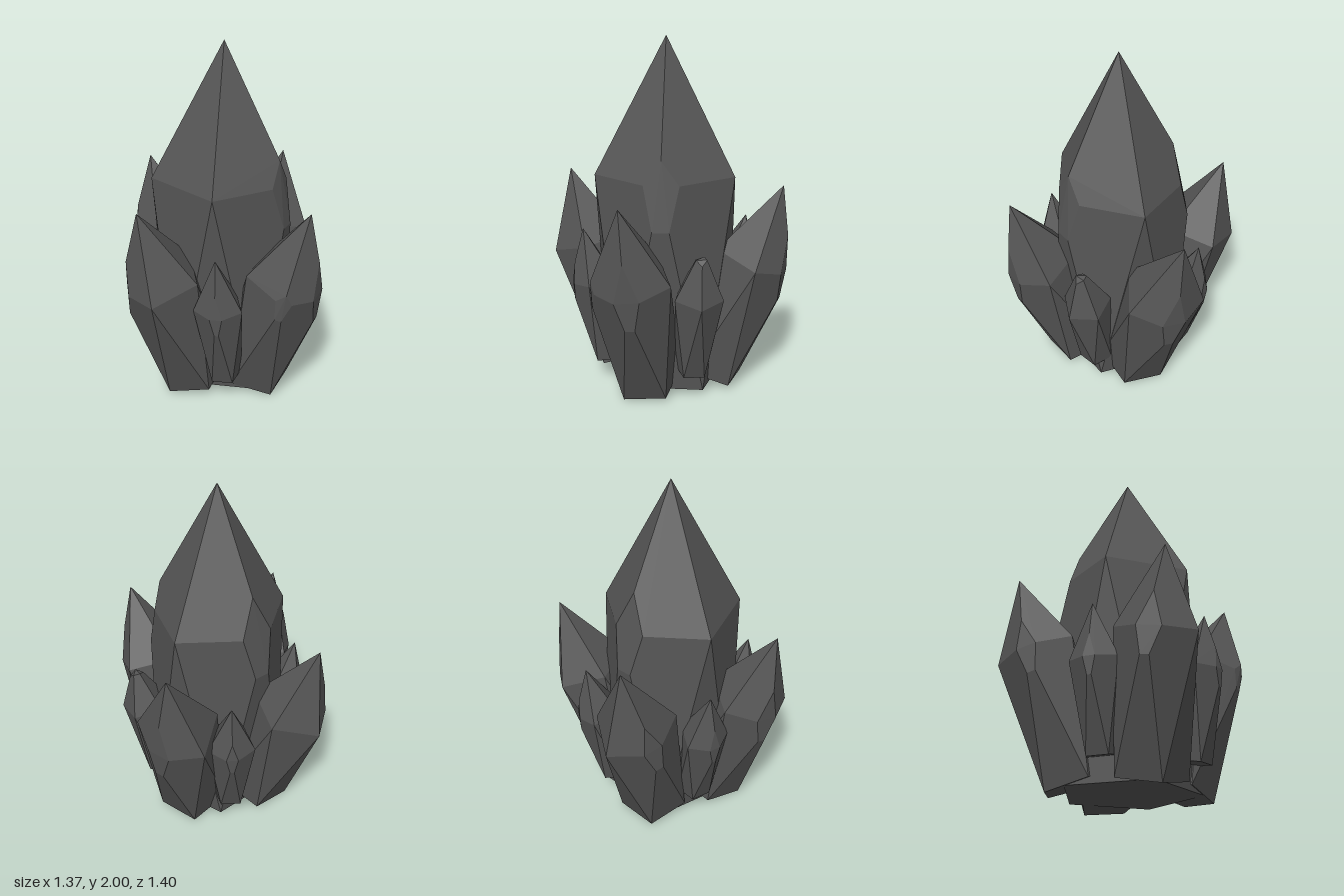
import * as THREE from 'three';
import { ConvexGeometry } from 'three/addons/geometries/ConvexGeometry.js';

const SIDES = 5;
const RING_AT = 0.62; // height of the widest ring along the axis

// Five-sided crystal: twisted base, wide ring and a point, with some corners cut away.
// spin is the turn of the ring in degrees from +x towards +z; cuts lists [corner, tip, side, low].
function crystalGeometry({ base, tip, r, baseR, spin = 0, cuts = [], blunt = 0 }) {
  const start = new THREE.Vector3(...base);
  const apex = new THREE.Vector3(...tip);
  const axis = apex.clone().sub(start);
  const turn = new THREE.Quaternion().setFromUnitVectors(new THREE.Vector3(0, 1, 0), axis.clone().normalize());
  const ring = (t, radius, degrees) => Array.from({ length: SIDES }, (_, i) => {
    const a = THREE.MathUtils.degToRad(degrees + i * 72);
    return new THREE.Vector3(Math.cos(a) * radius, 0, Math.sin(a) * radius)
      .applyQuaternion(turn).add(start).addScaledVector(axis, t);
  });
  const wide = ring(RING_AT, r, spin);
  const foot = ring(0, baseR, spin + 36);
  const points = [...foot];

  // ring corners, either whole or cut by a facet
  wide.forEach((v, i) => {
    const cut = cuts.find((c) => c[0] === i);
    if (!cut) return points.push(v);
    const [, up, side, low] = cut;
    const next = (i + 1) % SIDES, prev = (i + SIDES - 1) % SIDES;
    points.push(
      v.clone().lerp(apex, up),
      v.clone().lerp(wide[next], side), v.clone().lerp(wide[prev], side),
      v.clone().lerp(foot[i], low), v.clone().lerp(foot[prev], low)
    );
  });

  // point, either sharp or broken off
  if (blunt) wide.forEach((v, i) => points.push(apex.clone().lerp(v, blunt * (i % 2 ? 1 : 0.75))));
  else points.push(apex);
  return new ConvexGeometry(points);
}

export function createModel() {
  const group = new THREE.Group();
  const stone = new THREE.MeshStandardMaterial({ color: 0x555555 });
  stone.name = 'dark grey stone';

  const add = (name, options) => {
    const mesh = new THREE.Mesh(crystalGeometry(options), stone);
    mesh.name = name;
    group.add(mesh);
  };

  // tall centre crystal
  add('mainCrystal', {
    base: [-0.02, 0.03, 0.02], tip: [-0.02, 2, 0.02], r: 0.41, baseR: 0.4,
    cuts: [[1, 0.18, 0.25, 0.2], [4, 0.28, 0.25, 0.2]],
  });

  // four medium crystals leaning outwards
  const medium = { r: 0.235, baseR: 0.205 };
  add('frontCrystal', {
    ...medium, base: [-0.03, 0.06, 0.29], tip: [-0.02, 1.2, 0.65],
    cuts: [[1, 0.45, 0.3, 0.22], [2, 0.12, 0.2, 0.15]],
  });
  add('backCrystal', {
    ...medium, base: [-0.03, 0.06, -0.26], tip: [-0.02, 1.2, -0.63],
    cuts: [[3, 0.35, 0.25, 0.2]],
  });
  add('leftCrystal', {
    ...medium, base: [0.26, 0.06, 0.02], tip: [0.635, 1.2, -0.1],
    cuts: [[0, 0.45, 0.3, 0.22]],
  });
  add('rightCrystal', {
    ...medium, base: [-0.29, 0.06, 0.03], tip: [-0.65, 1.2, 0.01],
    cuts: [[3, 0.4, 0.3, 0.2]],
  });

  // four small crystals in the gaps
  const small = { r: 0.14, baseR: 0.1 };
  add('smallFrontLeftCrystal', {
    ...small, base: [0.24, 0.16, 0.26], tip: [0.33, 0.95, 0.37], spin: -10, blunt: 0.3,
  });
  add('smallFrontRightCrystal', {
    ...small, base: [-0.28, 0.16, 0.28], tip: [-0.4, 0.95, 0.33],
    cuts: [[2, 0.4, 0.25, 0.2]],
  });
  add('smallBackLeftCrystal', {
    ...small, base: [0.24, 0.16, -0.24], tip: [0.36, 0.93, -0.32], spin: 36,
    cuts: [[4, 0.35, 0.25, 0.2]],
  });
  add('smallBackRightCrystal', {
    ...small, base: [-0.27, 0.16, -0.2], tip: [-0.39, 0.93, -0.3],
    cuts: [[3, 0.4, 0.25, 0.2]],
  });

  return group;
}
